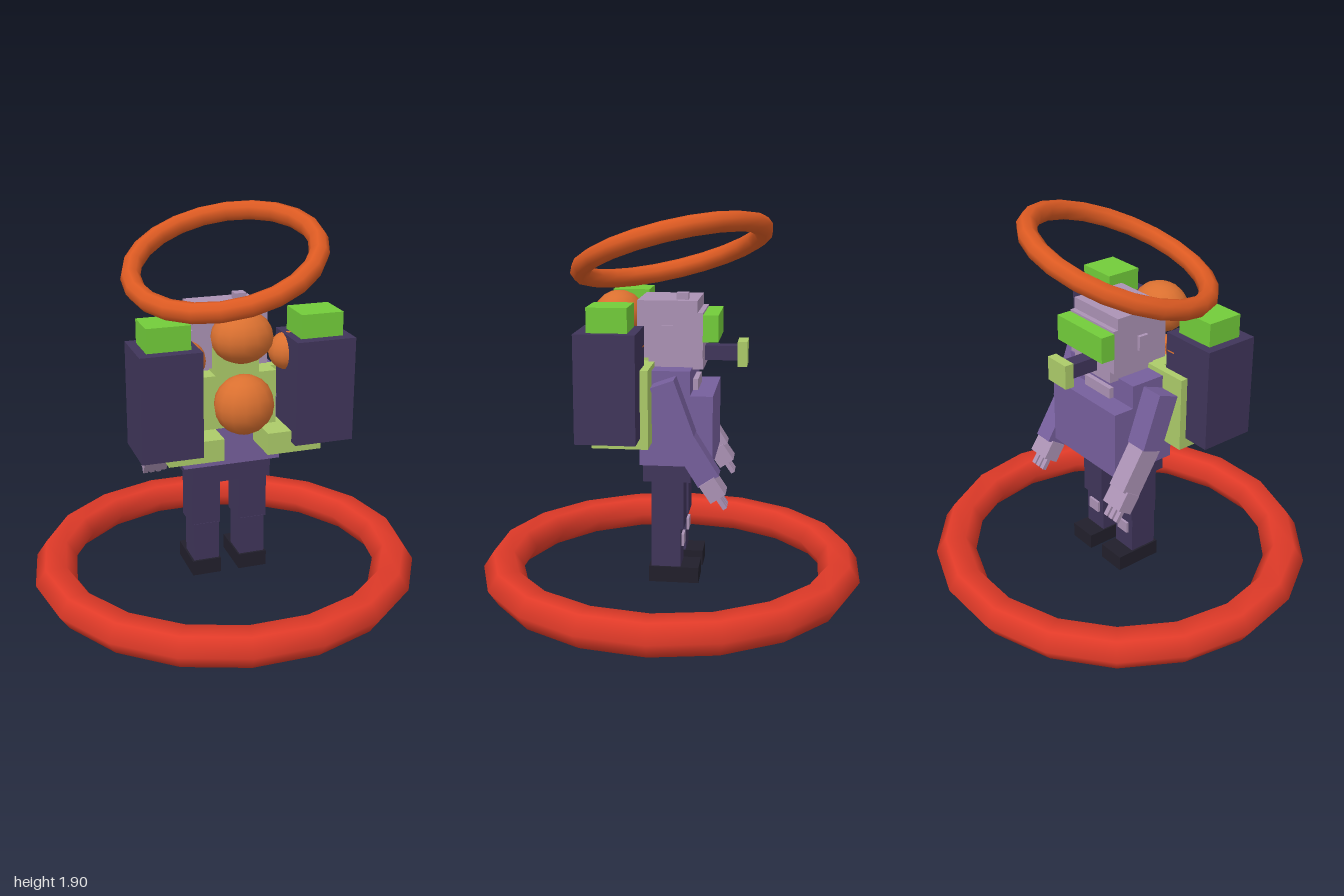
import * as THREE from 'three';

const mat = (name, color) => Object.assign(new THREE.MeshStandardMaterial({ color }), { name });

export function createModel() {
  const red = mat('ring red', 0xe03a28);
  const ember = mat('halo orange', 0xdc5a22);
  const orange = mat('orb orange', 0xda7030);
  const dark = mat('dark violet', 0x40355a);
  const purple = mat('suit purple', 0x765f9c);
  const lilac = mat('lilac', 0xab92b4);
  const green = mat('bright green', 0x72cc3a);
  const lime = mat('pale green', 0xaccb69);
  const black = mat('boot black', 0x211f2b);

  const model = new THREE.Group();
  model.name = 'figure';
  const add = (name, geo, material, parent = model) => {
    const m = new THREE.Mesh(geo, material);
    m.name = name;
    parent.add(m);
    return m;
  };
  // Box given by its limits on each axis
  const box = (name, material, [x0, x1], [y0, y1], [z0, z1]) => {
    const m = add(name, new THREE.BoxGeometry(x1 - x0, y1 - y0, z1 - z0), material);
    m.position.set((x0 + x1) / 2, (y0 + y1) / 2, (z0 + z1) / 2);
    return m;
  };
  // Same box on the given side, mirrored in x
  const sideBox = (s, name, material, [x0, x1], y, z) =>
    box(name, material, s > 0 ? [x0, x1] : [-x1, -x0], y, z);
  // Box tilted in the yz plane; the lower end swings towards -z
  const limb = (name, material, size, pos, degrees) => {
    const m = add(name, new THREE.BoxGeometry(...size), material);
    m.position.set(...pos);
    m.rotation.x = THREE.MathUtils.degToRad(degrees);
    return m;
  };
  const orb = (name, pos, radii) => {
    const m = add(name, new THREE.SphereGeometry(1, 14, 10), orange);
    m.position.set(...pos);
    m.scale.set(...radii);
    return m;
  };

  // Ground ring, six-sided tube
  const baseGeo = new THREE.TorusGeometry(0.893, 0.107, 6, 18);
  baseGeo.rotateX(-Math.PI / 2).scale(1, 0.863, 0.971);
  add('groundRing', baseGeo, red).position.y = 0.08;

  // Tilted halo
  const halo = add('halo', new THREE.TorusGeometry(0.46, 0.05, 8, 22), ember);
  halo.position.set(0, 1.688, 0);
  halo.quaternion.setFromUnitVectors(
    new THREE.Vector3(0, 0, 1), new THREE.Vector3(-0.27, 1, 0.27).normalize());

  // Torso and hips
  box('torso', purple, [-0.25, 0.25], [0.67, 1.02], [-0.225, 0.13]);
  box('upperTorso', purple, [-0.25, 0.25], [1.02, 1.14], [-0.115, 0.08]);
  box('collar', lilac, [-0.1, 0.1], [1.02, 1.075], [-0.14, -0.115]);
  box('hips', dark, [-0.205, 0.205], [0.575, 0.672], [-0.115, 0.12]);

  // Head
  box('head', lilac, [-0.17, 0.17], [1.19, 1.41], [-0.168, 0.15]);
  box('headTop', lilac, [-0.17, 0.17], [1.41, 1.468], [-0.142, 0.15]);
  box('jaw', lilac, [-0.14, 0.14], [1.13, 1.19], [-0.168, 0.1]);
  box('topStud', lilac, [0.068, 0.128], [1.468, 1.5], [-0.093, -0.035]);
  box('visor', green, [-0.175, 0.175], [1.27, 1.4], [-0.243, -0.168]);
  box('snout', dark, [-0.038, 0.038], [1.16, 1.232], [-0.33, -0.168]);
  box('snoutTip', lime, [-0.07, 0.07], [1.135, 1.258], [-0.378, -0.33]);

  // Backpack frame and orbs
  box('packPlate', lime, [-0.385, 0.385], [0.895, 1.165], [0.07, 0.12]);
  box('packSpine', lime, [-0.2, 0.2], [0.895, 1.165], [0.12, 0.2]);
  box('packNeck', lime, [-0.11, 0.11], [1.165, 1.3], [0.1, 0.2]);
  orb('upperOrb', [0, 1.37, 0.265], [0.152, 0.127, 0.13]);
  orb('lowerOrb', [0, 1.045, 0.3], [0.147, 0.147, 0.13]);

  for (const s of [-1, 1]) {
    sideBox(s, 'ear', lilac, [0.17, 0.188], [1.275, 1.35], [-0.025, 0.03]);

    // Tanks on their shelves
    sideBox(s, 'packShelf', lime, [0.11, 0.385], [0.785, 0.895], [0.07, 0.34]);
    sideBox(s, 'tank', dark, [0.23, 0.527], [0.838, 1.353], [0.108, 0.395]);
    sideBox(s, 'tankCap', green, [0.27, 0.482], [1.353, 1.47], [0.15, 0.34]);
    orb('sideOrb', [s * 0.26, 1.26, 0.2], [0.1, 0.095, 0.095]);

    // Arms; only one forearm is sleeved
    const x = s * 0.31;
    limb('upperArm', purple, [0.12, 0.285, 0.118], [x, 0.965, -0.042], 20);
    limb('forearm', s > 0 ? purple : lilac, [0.105, 0.25, 0.115], [x, 0.735, -0.15], 32);
    limb('hand', lilac, [0.125, 0.1, 0.085], [x, 0.59, -0.235], 34);
    for (const f of [-1, 0, 1])
      limb('finger', lilac, [0.025, 0.075, 0.022], [x + f * 0.036, 0.528, -0.275], 34);

    // Legs
    sideBox(s, 'thigh', dark, [0.05, 0.2], [0.33, 0.6], [-0.08, 0.08]);
    sideBox(s, 'shin', dark, [0.056, 0.19], [0.11, 0.335], [-0.065, 0.083]);
    sideBox(s, 'shinPatch', lilac, [0.085, 0.16], [0.23, 0.29], [-0.078, -0.065]);
    sideBox(s, 'boot', black, [0.048, 0.2], [0.05, 0.13], [-0.155, 0.095]);
  }
  return model;
}
